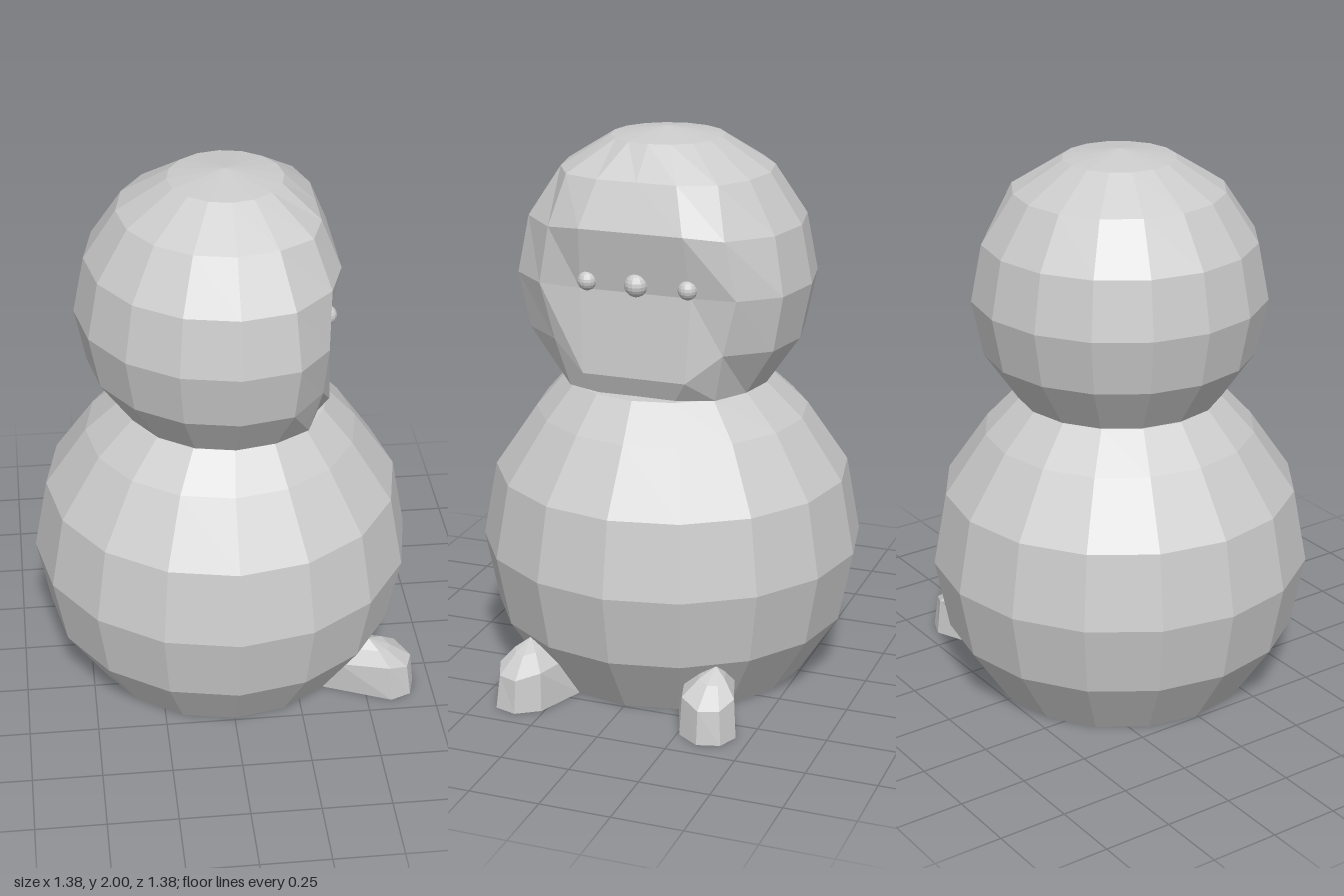
import * as THREE from 'three';

const material = new THREE.MeshStandardMaterial({ color: 0xcccccc, flatShading: true });
const V = (x, y, z) => new THREE.Vector3(x, y, z);
const SIDES = 16;

// Skin stacked rings (bottom to top) and close both ends with a fan.
function loft(name, rings, bottom, top) {
  const pos = [];
  const tri = (...pts) => pts.forEach((p) => pos.push(p.x, p.y, p.z));
  const n = rings[0].length;
  const last = rings[rings.length - 1];
  for (let i = 0; i < n; i++) {
    const j = (i + 1) % n;
    tri(bottom, rings[0][i], rings[0][j]);
    tri(top, last[j], last[i]);
    for (let k = 0; k < rings.length - 1; k++) {
      const a = rings[k], b = rings[k + 1];
      tri(a[i], b[i], b[j]);
      tri(a[i], b[j], a[j]);
    }
  }
  const geometry = new THREE.BufferGeometry();
  geometry.setAttribute('position', new THREE.Float32BufferAttribute(pos, 3));
  geometry.computeVertexNormals();
  const mesh = new THREE.Mesh(geometry, material);
  mesh.name = name;
  return mesh;
}

function ring(r, y, cx = 0, cz = 0) {
  return Array.from({ length: SIDES }, (_, i) => {
    const a = (i / SIDES) * Math.PI * 2;
    return V(cx + r * Math.cos(a), y, cz + r * Math.sin(a));
  });
}

// Lower ball, cut flat at the ground and narrowing to the neck
function makeBody() {
  const rings = [[0.49, 0], [0.64, 0.23], [0.69, 0.49], [0.64, 0.76], [0.49, 0.98]]
    .map(([r, y]) => ring(r, y));
  rings.push(ring(0.37, 1.105, 0.01, 0.01));
  return loft('body', rings, V(0, 0, 0), V(0, 1.12, 0));
}

// Upper ball with its +x side pressed into a flat face
function makeHead() {
  const cx = 0.015, cz = 0.01;
  // radius, height, x of the middle columns, height of the middle columns, x and z of the face corners
  const rows = [
    [0.37, 1.105, 0.33, 1.105, 0.28, 0.27],
    [0.49, 1.28, 0.362, 1.18, 0.32, 0.31],
    [0.53, 1.48, 0.343, 1.48, 0.33, 0.36],
    [0.49, 1.685, 0.39, 1.70, 0.34, 0.32],
    [0.375, 1.86, 0.325, 1.86, 0.28, 0.275],
    [0.2, 1.97, 0.215, 1.97, 0.156, 0.141],
  ];
  const rings = rows.map(([r, y, midX, midY, cornerX, cornerZ]) => {
    const pts = ring(r, y, cx, cz);
    for (const i of [15, 0, 1]) {
      pts[i].x = Math.min(pts[i].x, midX);
      pts[i].y = midY;
    }
    pts[2].set(cornerX, y, cz + cornerZ);
    pts[14].set(cornerX, y, cz - cornerZ);
    return pts;
  });
  return loft('head', rings, V(cx, 1.06, cz), V(cx, 2, cz));
}

// Domed foot that grows out of the bottom edge of the body
function makeFoot(name, side) {
  const base = [[0.45, 0.19], [0.635, 0.26], [0.688, 0.34], [0.665, 0.42], [0.59, 0.45], [0.347, 0.347]];
  const rim = [
    [0.5, 0.14, 0.23], [0.625, 0.14, 0.265], [0.675, 0.12, 0.34],
    [0.65, 0.12, 0.41], [0.58, 0.14, 0.44], [0.4, 0.13, 0.38],
  ];
  const apex = V(0.51, 0.22, 0.35 * side);
  const lower = base.map(([x, z]) => V(x, 0, z * side));
  const middle = rim.map(([x, y, z]) => V(x, y, z * side));
  const upper = middle.map((p) => {
    const q = p.clone().lerp(apex, 0.5);
    q.y += 0.01;
    return q;
  });
  const rings = [lower, middle, upper];
  if (side < 0) rings.forEach((r) => r.reverse());
  return loft(name, rings, V(0.53, 0, 0.33 * side), apex);
}

export function createModel() {
  const group = new THREE.Group();
  group.name = 'snowFigure';
  group.add(makeBody(), makeHead(), makeFoot('leftFoot', -1), makeFoot('rightFoot', 1));

  // Two eyes with a slightly larger nose between them
  for (const [name, z, r] of [['rightEye', 0.183, 0.034], ['nose', 0.003, 0.041], ['leftEye', -0.183, 0.034]]) {
    const ball = new THREE.Mesh(new THREE.SphereGeometry(r, 16, 10), material);
    ball.name = name;
    ball.position.set(0.348, 1.51, z);
    group.add(ball);
  }
  return group;
}
